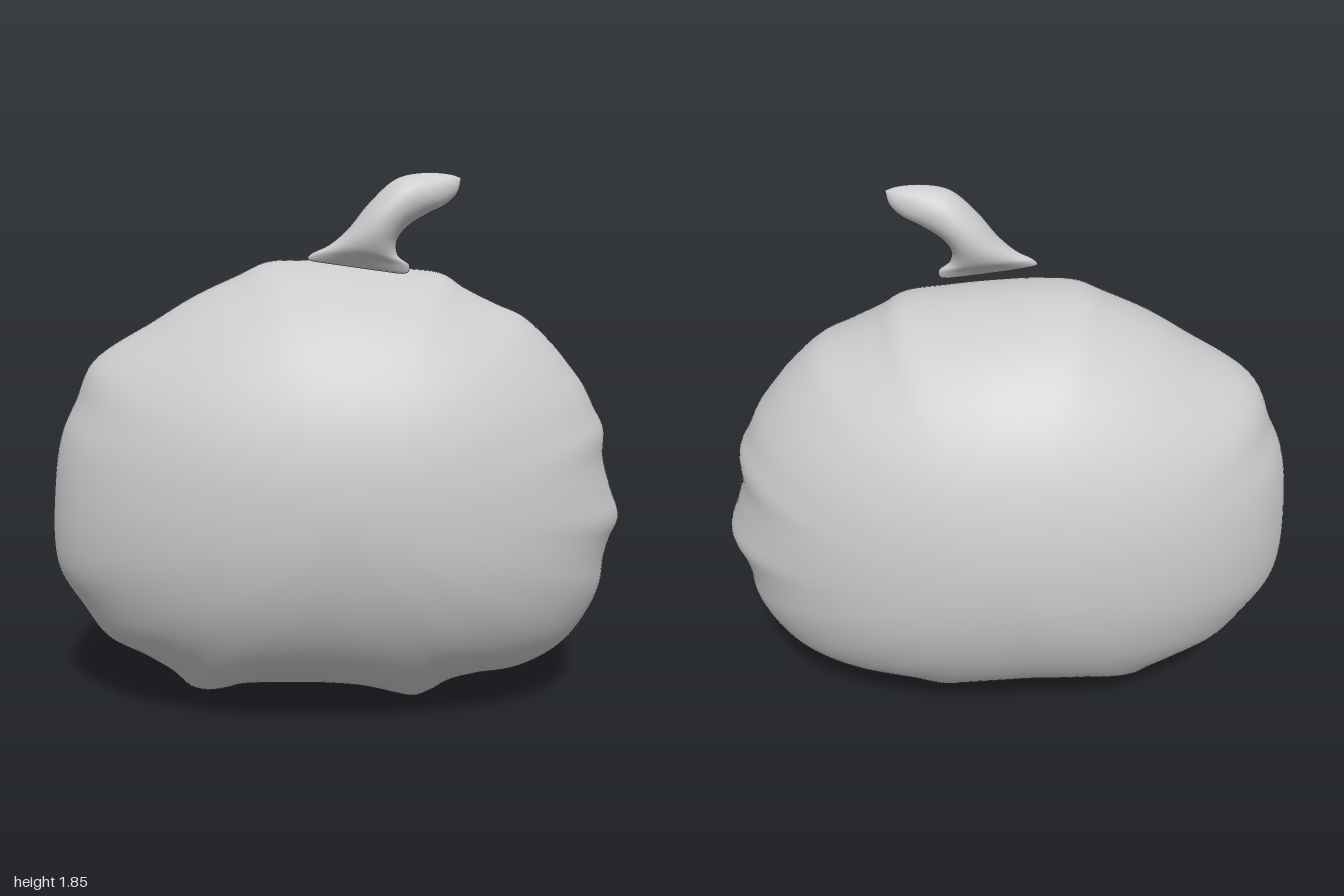
import * as THREE from 'three';
import { mergeVertices } from 'three/addons/utils/BufferGeometryUtils.js';

const material = new THREE.MeshStandardMaterial({ color: 0xcccccc });

// Wavy rim of the body in the xy plane, counter-clockwise from the left side
const RIM = [
  [1, .66], [.965, .77], [.935, .88], [.935, .98], [.9, 1.05], [.86, 1.13], [.8, 1.21], [.75, 1.27],
  [.64, 1.37], [.55, 1.41], [.43, 1.47], [.36, 1.515], [.2, 1.535], [0, 1.553], [-.1, 1.56],
  [-.25, 1.555], [-.35, 1.51], [-.5, 1.44], [-.64, 1.355], [-.86, 1.21], [-.92, 1.08], [-.97, .97],
  [-1, .8], [-1, .5], [-.92, .36], [-.83, .235], [-.7, .17], [-.6, .105], [-.54, .045], [-.48, .03],
  [-.42, .04], [-.36, .06], [0, .06], [.1, .045], [.2, .015], [.27, 0], [.33, .025], [.4, .07],
  [.5, .095], [.62, .105], [.72, .14], [.82, .21], [.9, .32], [.94, .42], [.95, .52], [.97, .59],
];

// Stem cross-sections from base to tip: right edge x, y, left edge x, y, half thickness
const STEM = [
  [.06, 1.54, .06, 1.54, 0],
  [-.11, 1.562, .22, 1.517, .014],
  [-.1, 1.58, .228, 1.543, .035],
  [-.04, 1.61, .19, 1.575, .066],
  [.02, 1.66, .185, 1.62, .085],
  [.09, 1.745, .215, 1.665, .09],
  [.18, 1.825, .285, 1.71, .08],
  [.27, 1.845, .345, 1.74, .055],
  [.36, 1.84, .385, 1.78, .027],
  [.397, 1.828, .397, 1.828, 0],
];

// Closed surface: place(u, v) gives each point, u around and v from pole to pole
function closedSurface(name, around, along, place) {
  const sphere = new THREE.SphereGeometry(1, around, along);
  const { position, uv } = sphere.attributes;
  for (let i = 0; i < position.count; i++) {
    const p = place(uv.getX(i), 1 - uv.getY(i));
    position.setXYZ(i, p.x, p.y, p.z);
  }
  sphere.deleteAttribute('uv');
  sphere.deleteAttribute('normal');
  const geometry = mergeVertices(sphere, 1e-5);
  geometry.computeVertexNormals();
  const mesh = new THREE.Mesh(geometry, material);
  mesh.name = name;
  return mesh;
}

// Pillow-like body: bumps are strong at the rim and fade towards front and back
function createBody() {
  const count = 256, reach = 14, depth = 0.615;
  const centre = new THREE.Vector3(0, 0.78, 0);
  const curve = new THREE.CatmullRomCurve3(RIM.map(([x, y]) => new THREE.Vector3(x, y, 0)), true);
  const rim = curve.getSpacedPoints(count).slice(0, count).map(p => p.sub(centre));
  const calm = rim.map((_, i) => {
    const sum = new THREE.Vector3();
    for (let k = -reach; k <= reach; k++) sum.add(rim[(i + k + count) % count]);
    return sum.multiplyScalar(1.01 / (2 * reach + 1));
  });
  return closedSurface('body', count, 72, (u, v) => {
    const i = Math.round(u * count + count) % count;
    const s = Math.sin(v * Math.PI);
    const p = calm[i].clone().lerp(rim[i], s ** 5).multiplyScalar(s).add(centre);
    p.z = depth * Math.cos(v * Math.PI);
    return p;
  });
}

// Bent stem: elliptical sections lofted between its two edges
function createStem() {
  const rightEdge = new THREE.CatmullRomCurve3(STEM.map(s => new THREE.Vector3(s[0], s[1], s[4])));
  const leftEdge = new THREE.CatmullRomCurve3(STEM.map(s => new THREE.Vector3(s[2], s[3], s[4])));
  const stem = closedSurface('stem', 36, 54, (u, v) => {
    const a = rightEdge.getPoint(1 - v), b = leftEdge.getPoint(1 - v);
    const angle = u * Math.PI * 2;
    const thickness = Math.max(0, (a.z + b.z) / 2);
    const p = a.lerp(b, 0.5 + 0.5 * Math.cos(angle));
    p.z = -thickness * Math.sin(angle);
    return p;
  });
  stem.position.z = 0.195;
  return stem;
}

export function createModel() {
  const model = new THREE.Group();
  model.name = 'pumpkin';
  model.add(createBody(), createStem());
  return model;
}
